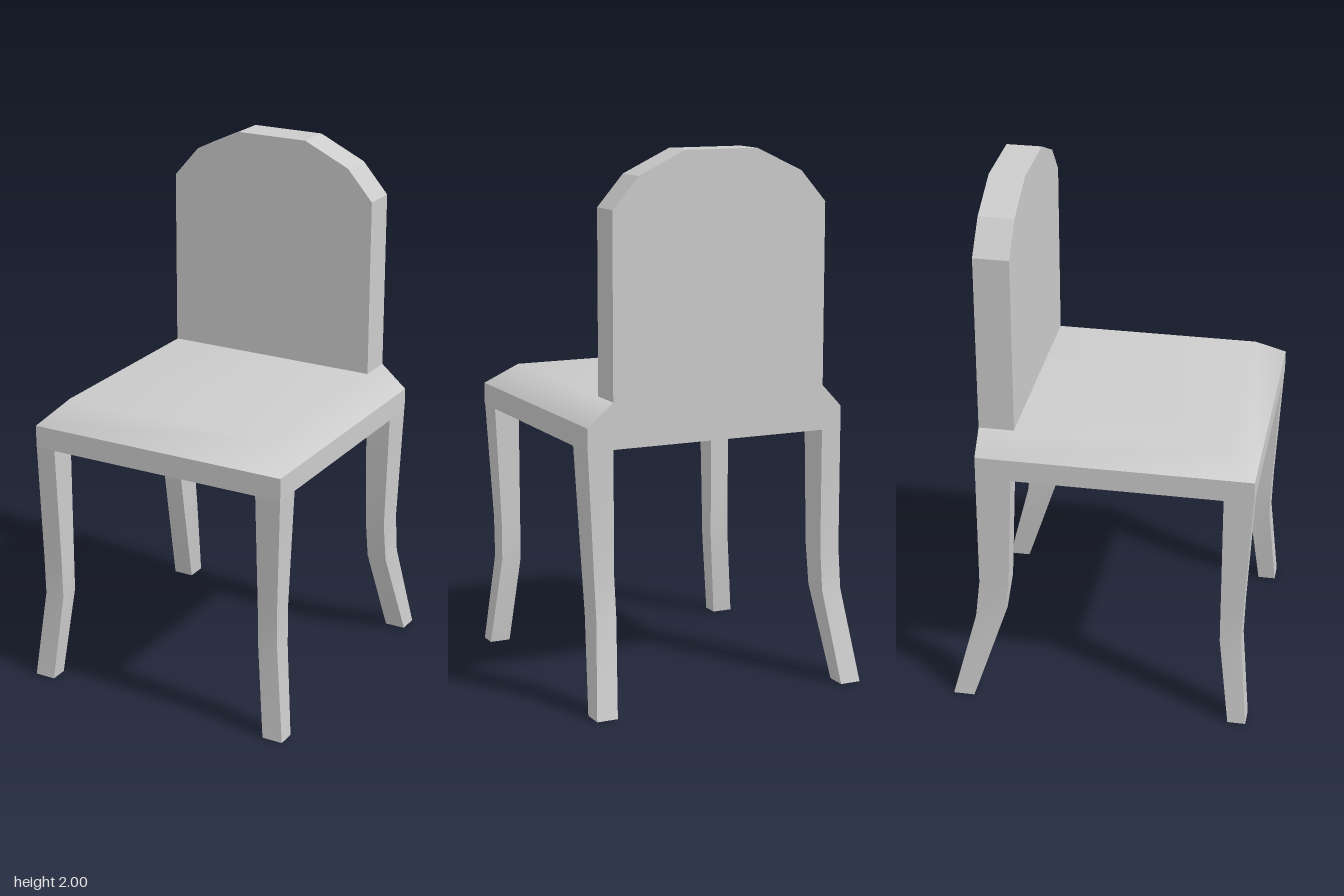
import * as THREE from 'three';
import { toCreasedNormals } from 'three/addons/utils/BufferGeometryUtils.js';

const material = new THREE.MeshStandardMaterial({ color: 0xcccccc });

// Corners of a level rectangle, counter-clockwise seen from above
const corners = ([y, x0, x1, z0, z1]) => [x0, y, z1, x1, y, z1, x1, y, z0, x0, y, z0];

function indexed(positions, index) {
  const geometry = new THREE.BufferGeometry();
  geometry.setAttribute('position', new THREE.Float32BufferAttribute(positions, 3));
  geometry.setIndex(index);
  geometry.computeVertexNormals();
  return geometry;
}

// Closed skin over rectangles [y, x0, x1, z0, z1], listed from bottom to top
function loft(rings) {
  const index = [0, 3, 2, 0, 2, 1];
  for (let r = 0; r < rings.length - 1; r++) {
    for (let i = 0; i < 4; i++) {
      const a = r * 4 + i, b = r * 4 + (i + 1) % 4;
      index.push(a, b, b + 4, a, b + 4, a + 4);
    }
  }
  const t = (rings.length - 1) * 4;
  index.push(t, t + 1, t + 2, t, t + 2, t + 3);
  return toCreasedNormals(indexed(rings.flatMap(corners), index), Math.PI / 5);
}

export function createModel() {
  const group = new THREE.Group();
  const add = (name, geometry) => {
    const mesh = new THREE.Mesh(geometry, material);
    mesh.name = name;
    group.add(mesh);
  };

  // Seat frame
  add('seatFrame', loft([
    [0.955, -0.5, 0.522, -0.457, 0.565],
    [1.04, -0.5, 0.522, -0.457, 0.565],
  ]));

  // Cushion: softly shaded slopes on three sides, flat at the back
  const rim = corners([1.04, -0.5, 0.522, -0.457, 0.565]);
  const top = corners([1.125, -0.42, 0.422, -0.457, 0.455]);
  const backFace = [...rim.slice(6), ...top.slice(6)];
  add('cushion', indexed([...rim, ...top, ...backFace], [
    0, 1, 5, 0, 5, 4,
    1, 2, 6, 1, 6, 5,
    3, 0, 4, 3, 4, 7,
    4, 5, 6, 4, 6, 7,
    8, 9, 11, 8, 11, 10,
  ]));

  // Backrest with a faceted arch
  const arch = [[0.422, 1.1], [0.422, 1.8], [0.322, 1.915], [0.142, 2]];
  const outline = [...arch, ...arch.map(([x, y]) => [-x, y]).reverse()];
  const shape = new THREE.Shape(outline.map(([x, y]) => new THREE.Vector2(x, y)));
  const back = new THREE.ExtrudeGeometry(shape, { depth: 0.132, bevelEnabled: false });
  back.translate(0, 0, -0.457);
  add('backrest', back);

  // Legs: heights with inner and outer x, then z ranges for front and rear
  const heights = [0, 0.345, 0.5, 0.96];
  const inner = [0.458, 0.422, 0.422, 0.422];
  const outer = [0.538, 0.5, 0.5, 0.5];
  const zRanges = {
    Front: [[0.497, 0.565], [0.455, 0.535], [0.455, 0.54], [0.455, 0.564]],
    Rear: [[-0.565, -0.485], [-0.475, -0.37], [-0.457, -0.345], [-0.457, -0.325]],
  };
  for (const [end, range] of Object.entries(zRanges)) {
    for (const side of [-1, 1]) {
      const rings = heights.map((y, i) => {
        const out = side > 0 && i === 3 ? 0.521 : outer[i]; // left legs flare at the top
        const xs = [side * inner[i], side * out].sort((a, b) => a - b);
        return [y, ...xs, ...range[i]];
      });
      add((side > 0 ? 'left' : 'right') + end + 'Leg', loft(rings));
    }
  }
  return group;
}
